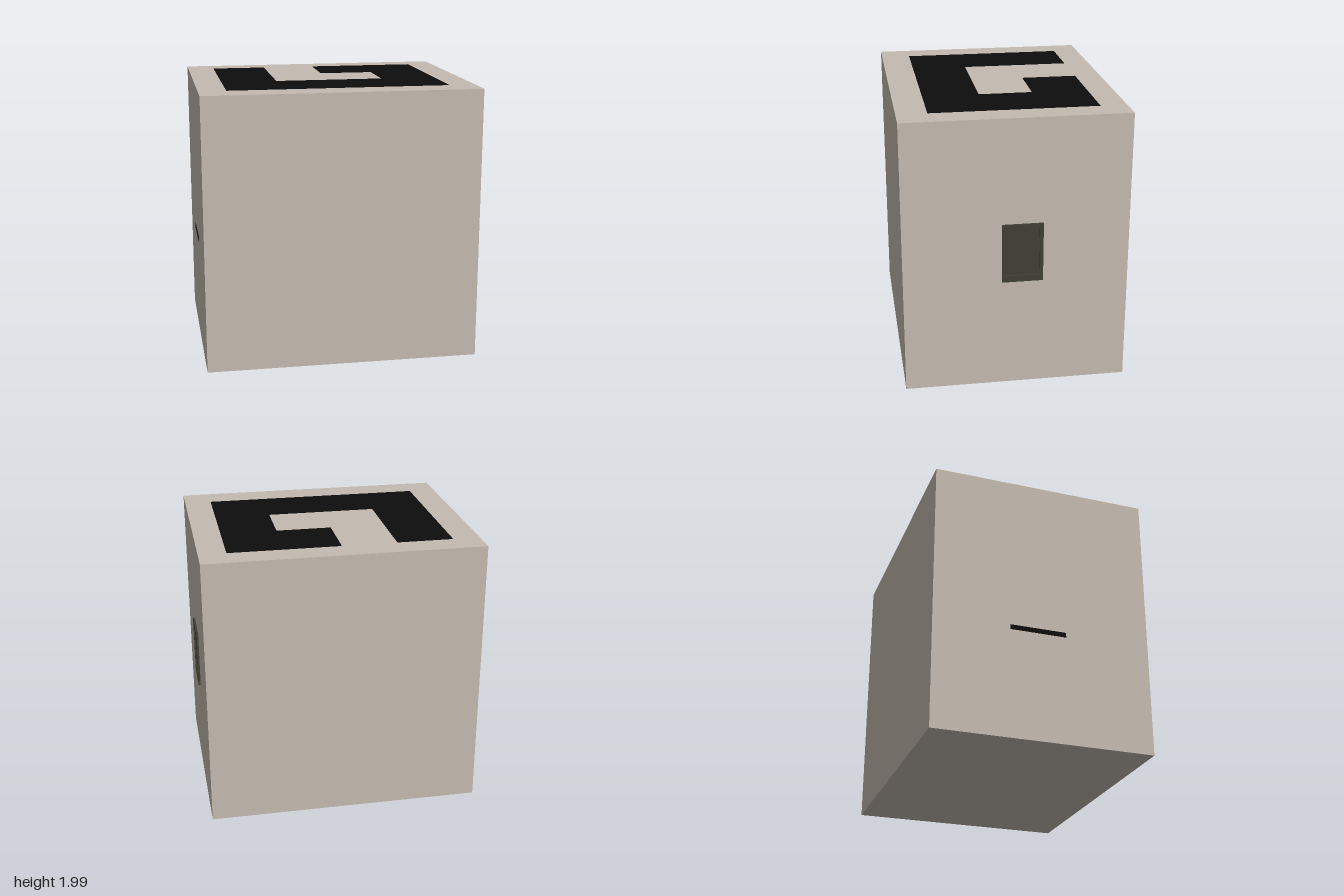
import * as THREE from 'three';

const material = (name, color) => {
  const m = new THREE.MeshStandardMaterial({ color });
  m.name = name;
  return m;
};

// Closed 2D outline from [x, y] corners
const outline = (Type, points) => new Type(points.map(([x, y]) => new THREE.Vector2(x, y)));
const rect = (Type, a0, a1, b0, b1) => outline(Type, [[a0, b0], [a1, b0], [a1, b1], [a0, b1]]);

export function createModel() {
  const group = new THREE.Group();
  const stone = material('warm grey', 0xc4bab0);
  const black = material('black', 0x0d0d0d);
  const olive = material('dark olive', 0x404035);

  const add = (name, geometry, mat) => {
    const mesh = new THREE.Mesh(geometry, mat);
    mesh.name = name;
    group.add(mesh);
    return mesh;
  };
  // Box given by its extents on each axis
  const box = (name, mat, [x0, x1], [y0, y1], [z0, z1]) =>
    add(name, new THREE.BoxGeometry(x1 - x0, y1 - y0, z1 - z0), mat)
      .position.set((x0 + x1) / 2, (y0 + y1) / 2, (z0 + z1) / 2);

  // Main body
  box('body', stone, [-0.997, 0.985], [0, 1.987], [-0.795, 0.795]);

  // Hooked band on the lid, drawn in x and -z, then laid flat
  const band = outline(THREE.Shape, [
    [-0.8, -0.58], [0.79, -0.58], [0.79, 0.605], [-0.005, 0.605], [-0.005, 0.205],
    [0.39, 0.205], [0.39, -0.18], [-0.4, -0.18], [-0.4, 0.605], [-0.8, 0.605],
  ]);
  const bandGeometry = new THREE.ExtrudeGeometry(band, { depth: 0.003, bevelEnabled: false });
  bandGeometry.rotateX(-Math.PI / 2);
  add('lidBand', bandGeometry, black).position.y = 1.987;

  // Slot on the right-hand (-x) side
  box('slot', black, [-1, -0.997], [0.795, 0.83], [-0.24, 0.17]);

  // Panel on the left-hand (+x) side: raised frame drawn in -z and y, around a recessed plate
  const frame = rect(THREE.Shape, -0.105, 0.185, 0.8, 1.23);
  frame.holes.push(rect(THREE.Path, -0.08, 0.157, 0.847, 1.19));
  const frameGeometry = new THREE.ExtrudeGeometry(frame, { depth: 0.015, bevelEnabled: false });
  frameGeometry.rotateY(Math.PI / 2);
  add('panelFrame', frameGeometry, olive).position.x = 0.985;
  box('panelPlate', olive, [0.985, 0.99], [0.847, 1.19], [-0.157, 0.08]);

  return group;
}
